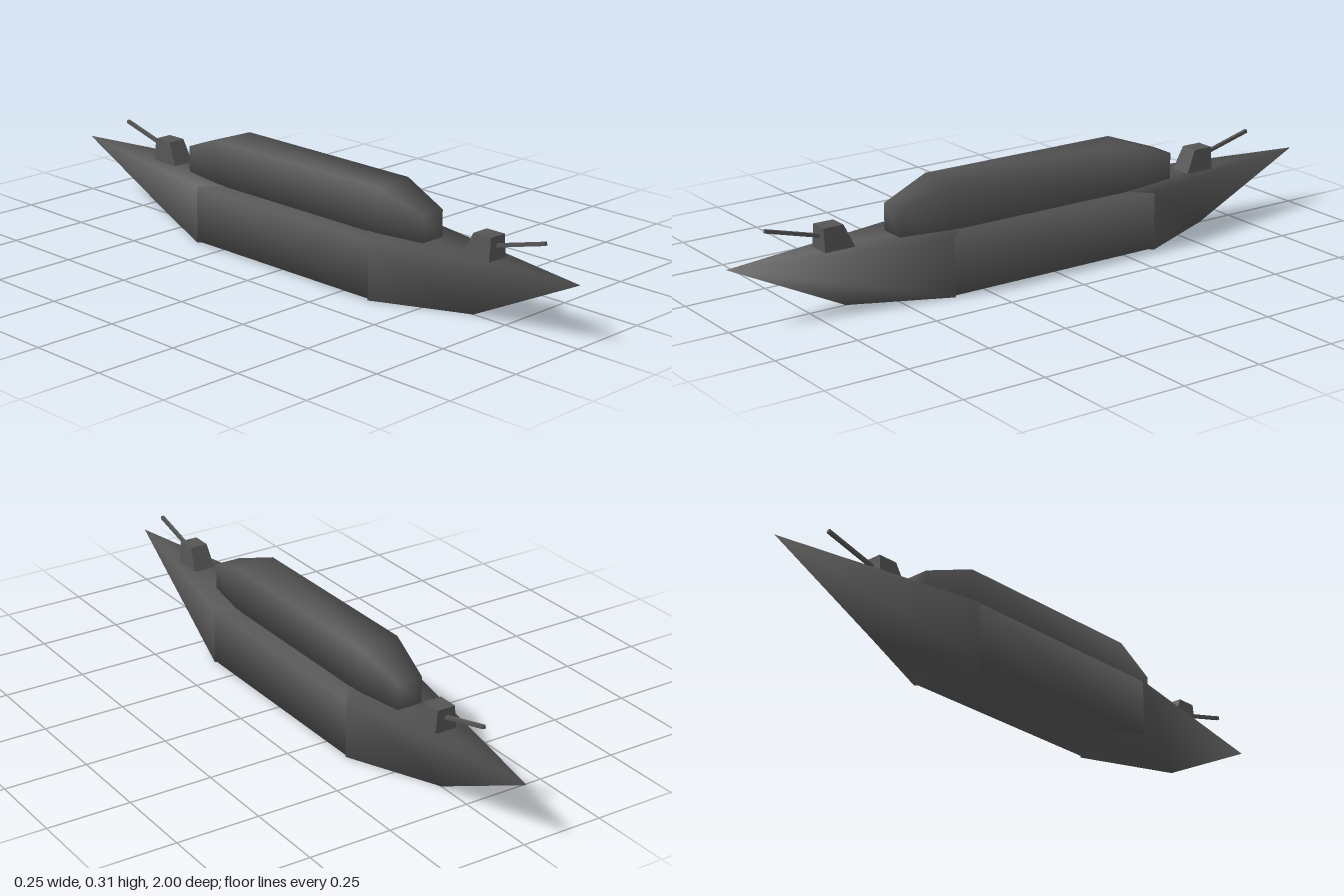
import * as THREE from 'three';

const hullGrey = new THREE.MeshStandardMaterial({ color: 0x555555 });
hullGrey.name = 'hullGrey';

// Solid between two matching rings of [x, y, z], counterclockwise seen from above
function prism(name, bottom, top, flat = false) {
  const n = top.length;
  const index = [];
  for (let i = 0; i < n; i++) {
    const j = (i + 1) % n;
    index.push(i, j, n + i, j, n + j, n + i);
  }
  // caps: zigzag between both sides of the ring
  let a = 0, b = 1;
  for (let k = 0; k < n - 2; k++) {
    const c = k % 2 === 0 ? b + 1 : (a + n - 1) % n;
    index.push(n + a, n + b, n + c, a, c, b);
    if (k % 2 === 0) b = c; else a = c;
  }
  let geo = new THREE.BufferGeometry();
  geo.setAttribute('position', new THREE.Float32BufferAttribute([...bottom, ...top].flat(), 3));
  geo.setIndex(index);
  if (flat) geo = geo.toNonIndexed();
  geo.computeVertexNormals();
  const mesh = new THREE.Mesh(geo, hullGrey);
  mesh.name = name;
  return mesh;
}

// Rectangle ring at height y
const rect = (w, y, z0, z1) => [[-w, y, z1], [w, y, z1], [w, y, z0], [-w, y, z0]];

// Kite-shaped hull end, pointed at tipZ
const kite = (y, tipZ) => [[0, y, tipZ], [0.125, y, 0.355], [0, y, 0.23], [-0.125, y, 0.355]];

// Gun house with a sloped back and a raised barrel; frontZ is its flat face
function turret(frontZ) {
  const group = new THREE.Group();
  group.name = 'turret';
  group.add(prism('gunHouse', rect(0.035, 0.172, -0.097, 0), rect(0.028, 0.245, -0.063, 0), true));
  const from = new THREE.Vector3(0, 0.213, -0.02);
  const to = new THREE.Vector3(0, 0.262, 0.165);
  const barrel = new THREE.Mesh(new THREE.BoxGeometry(0.01, 0.01, from.distanceTo(to)), hullGrey);
  barrel.name = 'barrel';
  barrel.position.copy(from).add(to).multiplyScalar(0.5);
  barrel.rotation.x = -Math.atan2(to.y - from.y, to.z - from.z);
  group.add(barrel);
  group.position.z = frontZ;
  return group;
}

export function createModel() {
  const model = new THREE.Group();
  model.name = 'warship';

  // Middle hull
  model.add(prism('midHull', rect(0.124, 0.005, -0.355, 0.355), rect(0.124, 0.175, -0.355, 0.355)));

  // Bow and stern, each with its turret
  [['bow', 0, 0.715], ['stern', Math.PI, 0.648]].forEach(([name, turn, gunZ]) => {
    const end = new THREE.Group();
    end.name = name;
    end.add(prism(name + 'Hull', kite(0, 0.635), kite(0.177, 1)), turret(gunZ));
    end.rotation.y = turn;
    model.add(end);
  });

  // Superstructure with tapered, sloping ends
  const plan = [[-0.04, 0.48], [0.04, 0.48], [0.066, 0.325], [0.066, -0.325],
    [0.04, -0.48], [-0.04, -0.48], [-0.066, -0.325], [-0.066, 0.325]];
  model.add(prism('superstructure',
    plan.map(([x, z]) => [x, 0.172, z]),
    plan.map(([x, z]) => [x, Math.abs(z) > 0.4 ? 0.257 : 0.311, z])));

  return model;
}
